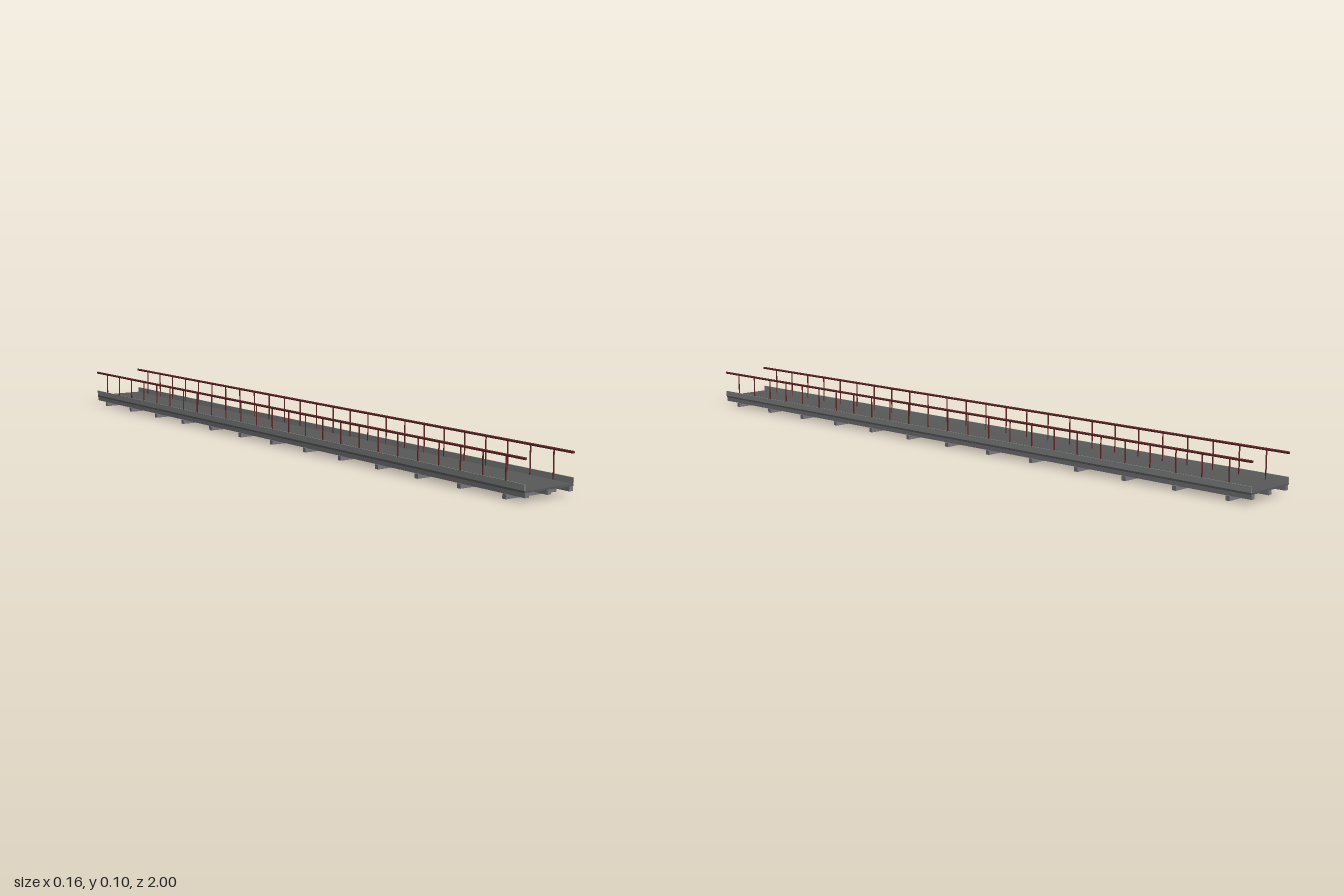
import * as THREE from 'three';

const mat = (color) => new THREE.MeshStandardMaterial({ color });

export function createModel() {
  const model = new THREE.Group();
  model.name = 'footbridge';
  const steel = mat(0x77757a), deckGrey = mat(0x585858), plateGrey = mat(0x868a88), red = mat(0x642626);

  const add = (name, geometry, material, x, y, z) => {
    const mesh = new THREE.Mesh(geometry, material);
    mesh.name = name;
    mesh.position.set(x, y, z);
    model.add(mesh);
    return mesh;
  };

  // Walking surface
  add('deck', new THREE.BoxGeometry(0.154, 0.005, 2), deckGrey, 0, 0.0255, 0);

  // Three lengthwise beams under the deck
  const stringer = new THREE.BoxGeometry(0.012, 0.012, 2);
  for (const x of [-0.069, 0, 0.069]) add('stringer', stringer, steel, x, 0.0175, 0);

  // Cross beams carrying the stringers
  const crossBeam = new THREE.BoxGeometry(0.159, 0.0118, 0.0118);
  for (let i = -6; i <= 6; i++) add('crossBeam', crossBeam, steel, 0, 0.0059, i * 0.156);

  // Kick plates, posts and handrails on both sides
  const kickPlate = new THREE.BoxGeometry(0.0025, 0.015, 2);
  const post = new THREE.CylinderGeometry(0.0018, 0.0018, 0.075, 8);
  const rail = new THREE.CylinderGeometry(0.0034, 0.0034, 2, 12).rotateX(Math.PI / 2);
  for (const side of [-1, 1]) {
    add('kickPlate', kickPlate, plateGrey, side * 0.0757, 0.0355, 0);
    add('handrail', rail, red, side * 0.075, 0.1015, 0);
    for (let i = -12; i <= 12; i++) add('railPost', post, red, side * 0.075, 0.0645, i * 0.078);
  }
  return model;
}
